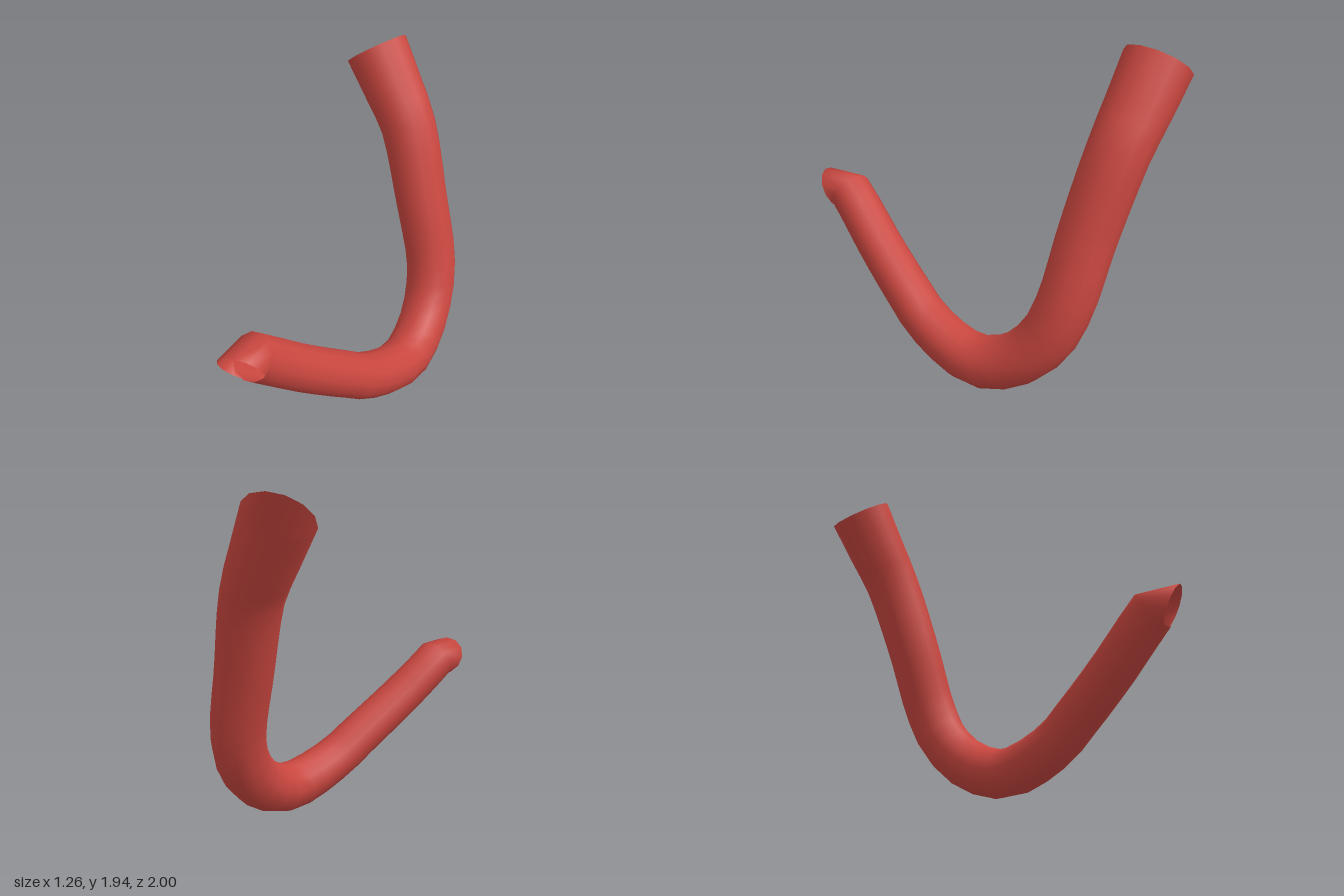
import * as THREE from 'three';

const SEGMENTS = 28, SIDES = 12;

// Centre line from the wide upper mouth to the narrow front mouth
const PATH = [
  [-0.47, 1.84, -0.795], [-0.32, 1.63, -0.81], [-0.18, 1.43, -0.82], [0.0, 1.0, -0.80],
  [0.145, 0.6, -0.785], [0.215, 0.4, -0.72], [0.3, 0.24, -0.58], [0.395, 0.156, -0.35],
  [0.46, 0.26, 0.0], [0.47, 0.39, 0.2], [0.47, 0.6, 0.5], [0.465, 0.755, 0.7],
  [0.47, 0.85, 0.82], [0.487, 0.872, 0.87], [0.517, 0.845, 0.915],
];

// Tube radius along its length: [position 0..1, radius]
const RADII = [[0, 0.195], [0.14, 0.171], [0.27, 0.163], [0.59, 0.15], [0.7, 0.139], [1, 0.132]];

function radiusAt(u) {
  for (let i = 1; i < RADII.length; i++) {
    const [a, ra] = RADII[i - 1], [b, rb] = RADII[i];
    if (u <= b) return THREE.MathUtils.mapLinear(u, a, b, ra, rb);
  }
  return RADII[RADII.length - 1][1];
}

export function createModel() {
  const model = new THREE.Group();
  model.name = 'bentHose';
  const red = new THREE.MeshStandardMaterial({ color: 0xc9463f, side: THREE.DoubleSide });
  red.name = 'red';

  // Unit-radius sweep, then each ring is scaled about its centre to taper it
  const curve = new THREE.CatmullRomCurve3(PATH.map(p => new THREE.Vector3(...p)));
  const geometry = new THREE.TubeGeometry(curve, SEGMENTS, 1, SIDES, false);
  const pos = geometry.attributes.position;
  const v = new THREE.Vector3();
  for (let i = 0; i <= SEGMENTS; i++) {
    const u = i / SEGMENTS, centre = curve.getPointAt(u), r = radiusAt(u);
    for (let j = 0; j <= SIDES; j++) {
      const k = i * (SIDES + 1) + j;
      v.fromBufferAttribute(pos, k).sub(centre).multiplyScalar(r).add(centre);
      pos.setXYZ(k, v.x, v.y, v.z);
    }
  }

  // Open-ended hose
  const hose = new THREE.Mesh(geometry, red);
  hose.name = 'hose';
  model.add(hose);
  return model;
}
